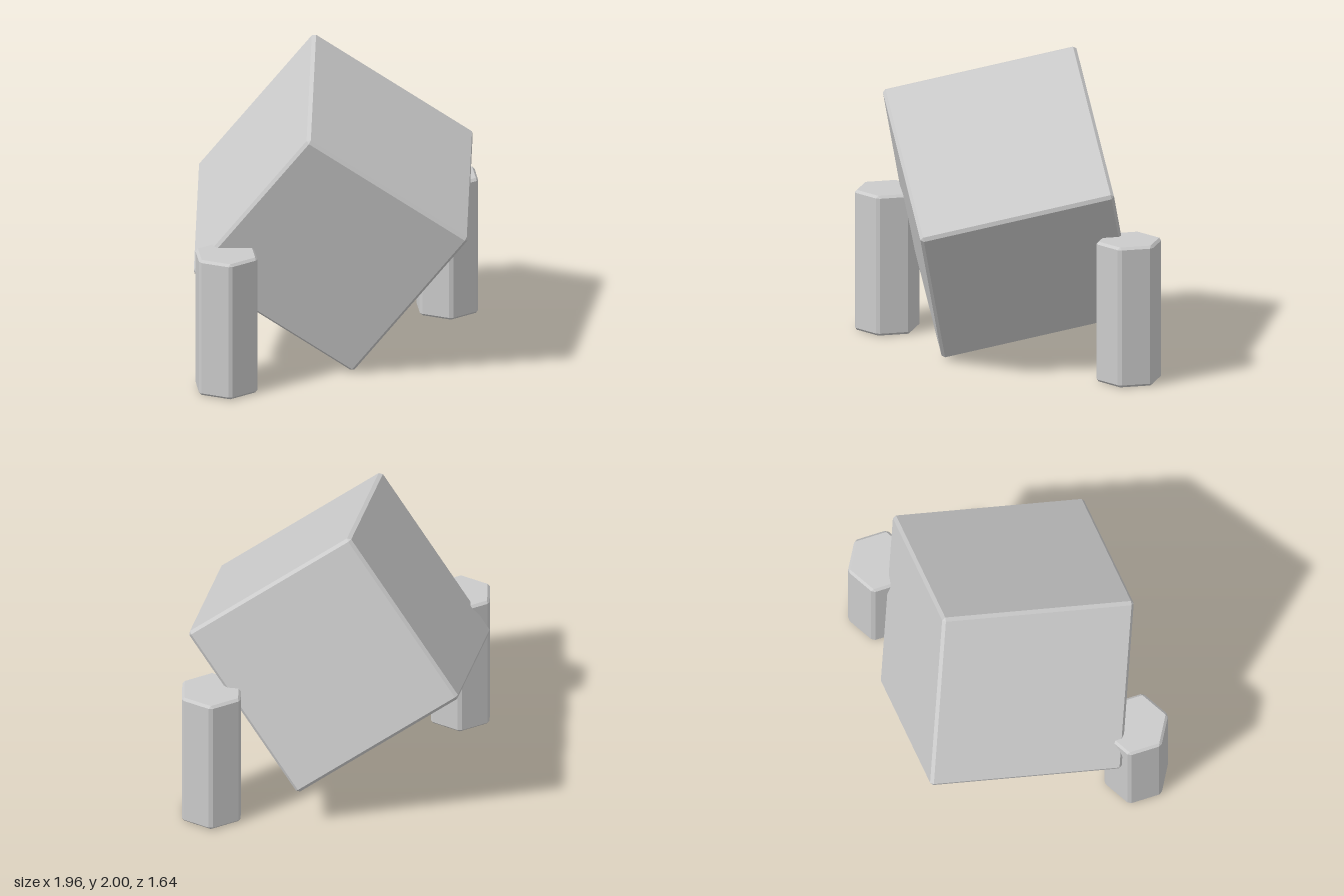
import * as THREE from 'three';
import { ConvexGeometry } from 'three/addons/geometries/ConvexGeometry.js';

const material = new THREE.MeshStandardMaterial({ color: 0xcccccc, flatShading: true });

// Cube with flat chamfers: three points around each corner
function chamferedCube(size, c) {
  const h = size / 2, points = [];
  for (const x of [-1, 1]) for (const y of [-1, 1]) for (const z of [-1, 1]) {
    for (let axis = 0; axis < 3; axis++) {
      const p = new THREE.Vector3(x, y, z).multiplyScalar(h - c);
      p.setComponent(axis, p.getComponent(axis) * h / (h - c));
      points.push(p);
    }
  }
  return new ConvexGeometry(points);
}

// Upright hexagonal prism, standing on y = 0, with chamfered edges
function chamferedHexPrism(radius, height, c) {
  const corner = (i, r, y) =>
    new THREE.Vector3(r * Math.sin(i * Math.PI / 3), y, r * Math.cos(i * Math.PI / 3));
  const points = [];
  for (let i = 0; i < 6; i++) {
    for (const y of [c, height - c]) {
      for (const next of [i - 1, i + 1]) {
        points.push(corner(i, radius, y).lerp(corner(next, radius, y), c / radius));
      }
    }
    for (const y of [0, height]) points.push(corner(i, radius - c * 1.15, y));
  }
  return new ConvexGeometry(points);
}

export function createModel() {
  const model = new THREE.Group();

  // Large tilted block
  const block = new THREE.Mesh(chamferedCube(1.28, 0.02), material);
  block.name = 'tiltedBlock';
  const xAxis = new THREE.Vector3(0.816, -0.578, 0).normalize();
  const zAxis = new THREE.Vector3(-0.143, -0.206, 0.968);
  const yAxis = new THREE.Vector3().crossVectors(zAxis, xAxis).normalize();
  zAxis.crossVectors(xAxis, yAxis);
  block.quaternion.setFromRotationMatrix(new THREE.Matrix4().makeBasis(xAxis, yAxis, zAxis));
  block.position.set(-0.022, 1.007, -0.012);
  model.add(block);

  // Two hexagonal posts at opposite corners
  const postGeometry = chamferedHexPrism(0.219, 0.935, 0.016);
  for (const [name, side] of [['leftPost', 1], ['rightPost', -1]]) {
    const post = new THREE.Mesh(postGeometry, material);
    post.name = name;
    post.position.set(side * 0.79, 0, side * -0.608);
    model.add(post);
  }

  return model;
}
